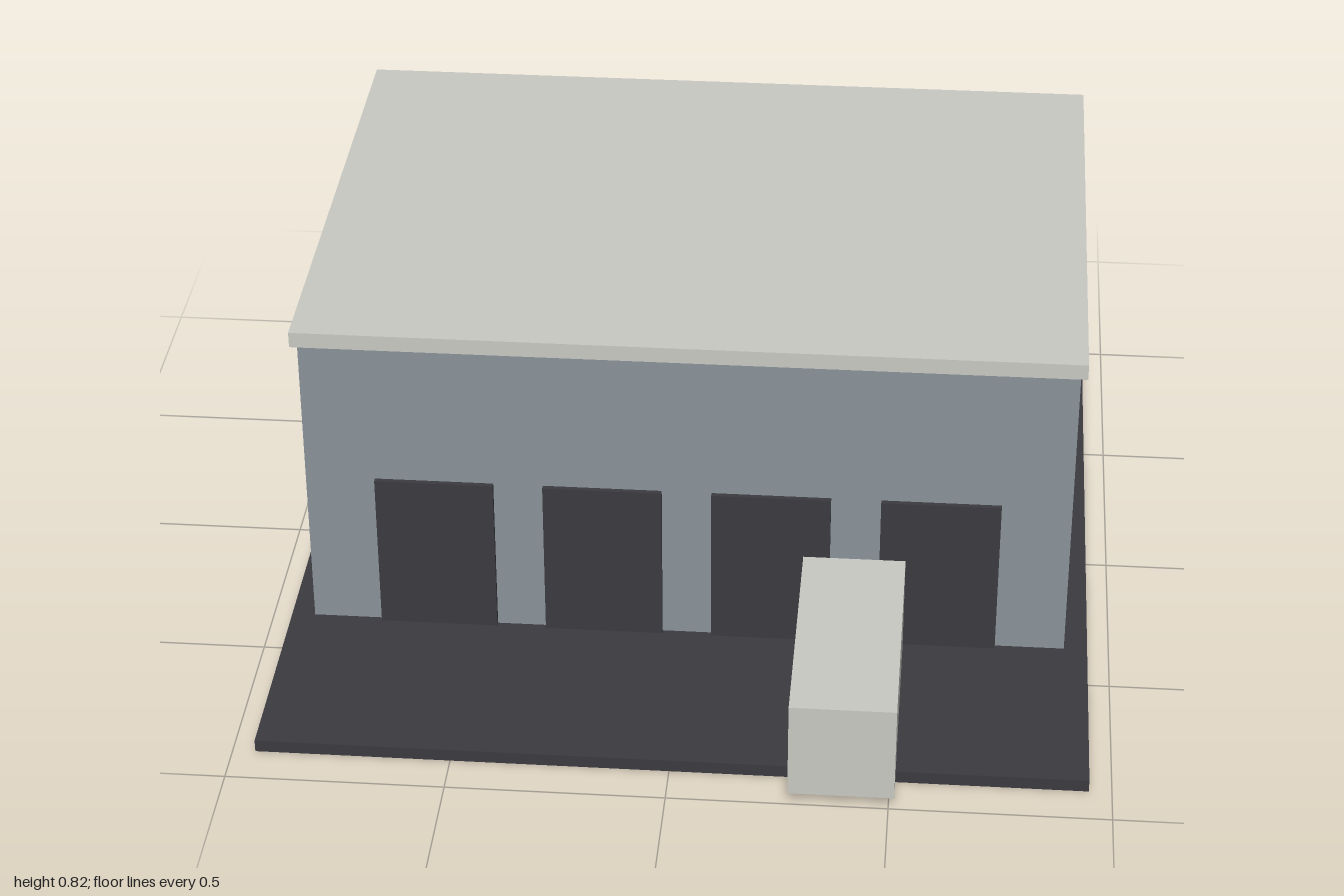
import * as THREE from 'three';

export function createModel() {
  const model = new THREE.Group();
  model.name = 'warehouse';

  const material = (name, color) => {
    const m = new THREE.MeshStandardMaterial({ color });
    m.name = name;
    return m;
  };
  const asphalt = material('dark asphalt', 0x3b3a40);
  const cladding = material('blue grey cladding', 0x89939a);
  const concrete = material('pale grey', 0xc9c9c3);

  // Box given by its extents along each axis
  const block = (name, mat, [x0, x1], [y0, y1], [z0, z1]) => {
    const mesh = new THREE.Mesh(new THREE.BoxGeometry(x1 - x0, y1 - y0, z1 - z0), mat);
    mesh.position.set((x0 + x1) / 2, (y0 + y1) / 2, (z0 + z1) / 2);
    mesh.name = name;
    model.add(mesh);
  };

  // Yard slab, main hall and overhanging flat roof
  block('yardSlab', asphalt, [-0.948, 0.948], [0, 0.03], [-1, 0.902]);
  block('hallWalls', cladding, [-0.893, 0.893], [0.03, 0.787], [-0.892, 0.399]);
  block('flatRoof', concrete, [-0.908, 0.908], [0.787, 0.825], [-0.909, 0.416]);

  // Row of loading doors along the front
  for (let i = 0; i < 4; i++) {
    const x = (i - 1.5) * 0.394;
    block(`loadingDoor${i + 1}`, asphalt, [x - 0.139, x + 0.139], [0.03, 0.427], [0.399, 0.411]);
  }

  // Trailer backed up to the doors, overhanging the slab edge
  block('trailer', concrete, [0.274, 0.513], [0.03, 0.268], [0.411, 1]);

  return model;
}
